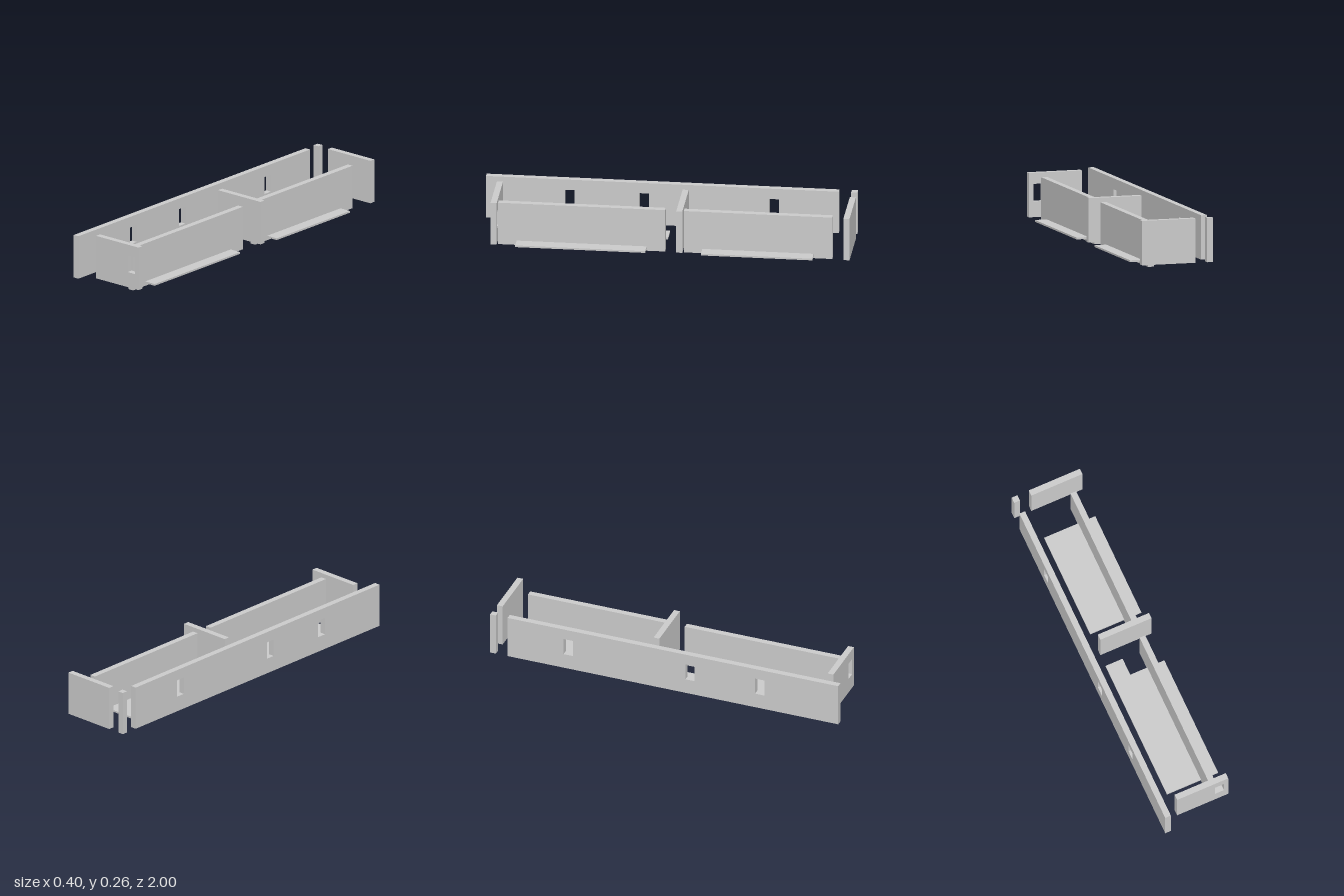
import * as THREE from 'three';

const material = new THREE.MeshStandardMaterial({ color: 0xcccccc, flatShading: true });
const T = 0.033;               // panel thickness
const Y0 = 0.025, Y1 = 0.265;  // bottom and top of the outer panels
const HOLE_Y = [0.11, 0.205];  // bottom and top of the window openings

function rectangle(target, u0, u1, v0, v1) {
  target.moveTo(u0, v0).lineTo(u1, v0).lineTo(u1, v1).lineTo(u0, v1).closePath();
  return target;
}

// Upright panel drawn in (u, y), with window openings given as [u0, u1]
function panelGeometry(u0, u1, windows = []) {
  const shape = rectangle(new THREE.Shape(), u0, u1, Y0, Y1);
  for (const [a, b] of windows) shape.holes.push(rectangle(new THREE.Path(), a, b, ...HOLE_Y));
  return new THREE.ExtrudeGeometry(shape, { depth: T, bevelEnabled: false });
}

export function createModel() {
  const model = new THREE.Group();
  model.name = 'partitionedBuilding';

  const add = (name, geometry) => {
    const mesh = new THREE.Mesh(geometry, material);
    mesh.name = name;
    model.add(mesh);
  };
  const box = (name, x0, x1, y0, y1, z0, z1) => add(name,
    new THREE.BoxGeometry(x1 - x0, y1 - y0, z1 - z0)
      .translate((x0 + x1) / 2, (y0 + y1) / 2, (z0 + z1) / 2));

  // Long side wall with three windows; drawn with u = -z, then turned to run along z
  const wall = panelGeometry(-1, 0.9, [[-0.575, -0.522], [-0.175, -0.122], [0.525, 0.578]]);
  add('longWall', wall.rotateY(Math.PI / 2).translate(-0.2, 0, 0));

  // Separate post behind the long wall
  box('cornerPost', -0.2, -0.2 + T, Y0, Y1, -1, -1 + T);

  // Cross walls: only the front one has a window
  add('frontWall', panelGeometry(-0.1, 0.2, [[0.123, 0.175]]).translate(0, 0, 0.9));
  add('middleWall', panelGeometry(-0.1, 0.2).translate(0, 0, -0.1));
  add('backWall', panelGeometry(-0.1, 0.2).translate(0, 0, -1));

  // Lower partitions running along the rooms
  box('frontPartition', 0.1, 0.1 + T, 0, 0.24, 0, 0.9);
  box('backPartition', 0.1, 0.1 + T, 0, 0.24, -0.9, -0.1);

  // Thin floors: the front one has a notched corner
  box('backFloor', -0.1, 0.2, 0.015, Y0, -0.8, -0.2);
  const floor = new THREE.Shape();
  floor.moveTo(-0.1, 0).lineTo(0, 0).lineTo(0, -0.1).lineTo(0.2, -0.1)
    .lineTo(0.2, -0.8).lineTo(-0.1, -0.8).closePath();
  add('frontFloor', new THREE.ExtrudeGeometry(floor, { depth: 0.01, bevelEnabled: false })
    .rotateX(-Math.PI / 2).translate(0, 0.015, 0));

  return model;
}
